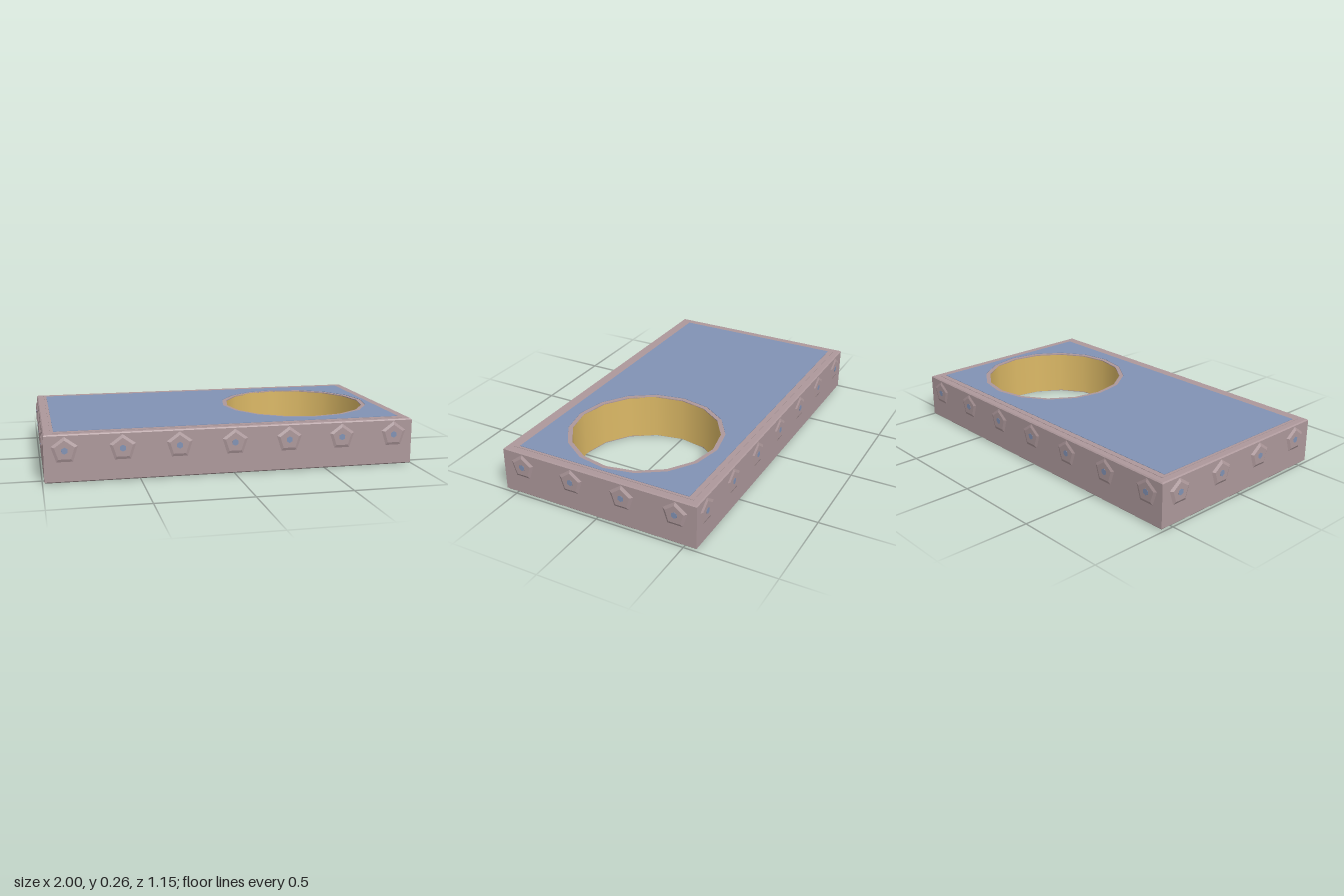
import * as THREE from 'three';

const HALF_X = 0.99, HALF_Z = 0.568, HOLE_X = 0.49, HOLE_R = 0.4;

function material(name, color, options = {}) {
  const m = new THREE.MeshStandardMaterial({ color, ...options });
  m.name = name;
  return m;
}

// Horizontal plate with a sixteen-sided hole, its underside at y
function holedPlate(name, mat, x, z, holeR, y, depth, bevel = 0) {
  const bx = x - bevel, bz = z - bevel;
  const shape = new THREE.Shape([[-bx, -bz], [bx, -bz], [bx, bz], [-bx, bz]].map(p => new THREE.Vector2(...p)));
  const ring = [];
  for (let i = 0; i < 16; i++) {
    const a = -i * Math.PI / 8;
    ring.push(new THREE.Vector2(HOLE_X + holeR * Math.cos(a), holeR * Math.sin(a)));
  }
  shape.holes.push(new THREE.Path(ring));
  const geo = new THREE.ExtrudeGeometry(shape, {
    depth: depth - 2 * bevel, bevelEnabled: bevel > 0, bevelSize: bevel, bevelThickness: bevel, bevelSegments: 1,
  });
  geo.rotateX(-Math.PI / 2);
  geo.translate(0, y + bevel, 0);
  const mesh = new THREE.Mesh(geo, mat);
  mesh.name = name;
  return mesh;
}

export function createModel() {
  const mauve = material('mauve', 0xad989b, { flatShading: true });
  const blue = material('blue', 0x8192b4);
  const gold = material('gold', 0xdcb966, { side: THREE.DoubleSide });
  const model = new THREE.Group();
  model.name = 'slab';

  // Bevelled slab with shallow plates above and below
  model.add(
    holedPlate('body', mauve, HALF_X, HALF_Z, 0.407, 0.003, 0.25, 0.006),
    holedPlate('bottomPlate', mauve, 0.95, 0.53, HOLE_R, 0, 0.004),
    holedPlate('topPlate', mauve, 0.95, 0.53, HOLE_R, 0.25, 0.005),
    holedPlate('topPanel', blue, 0.935, 0.5, 0.425, 0.252, 0.005),
  );

  // Gold wall inside the hole
  const liner = new THREE.Mesh(new THREE.CylinderGeometry(HOLE_R, HOLE_R, 0.254, 16, 1, true), gold);
  liner.name = 'holeLiner';
  liner.position.set(HOLE_X, 0.128, 0);
  model.add(liner);

  // Pentagonal studs with a small blue centre
  const studGeo = new THREE.CylinderGeometry(0.054, 0.072, 1, 5, 1, false, Math.PI).rotateX(Math.PI / 2);
  const dotGeo = new THREE.CylinderGeometry(0.018, 0.018, 0.002, 6).rotateX(Math.PI / 2);
  function addStud(x, z, turn, height) {
    const stud = new THREE.Group();
    stud.name = 'stud';
    const base = new THREE.Mesh(studGeo, mauve);
    base.name = 'studBase';
    base.scale.z = height;
    base.position.z = height / 2;
    const dot = new THREE.Mesh(dotGeo, blue);
    dot.name = 'studCentre';
    dot.position.z = height;
    stud.add(base, dot);
    stud.position.set(x, 0.17, z);
    stud.rotation.y = turn;
    model.add(stud);
  }
  for (const side of [1, -1]) {
    for (let i = -3; i <= 3; i++) addStud(i * 0.295, side * HALF_Z, side > 0 ? 0 : Math.PI, 0.006);
    for (let i = 0; i < 4; i++) addStud(side * HALF_X, -0.45 + i * 0.3, side * Math.PI / 2, 0.009);
  }
  return model;
}
